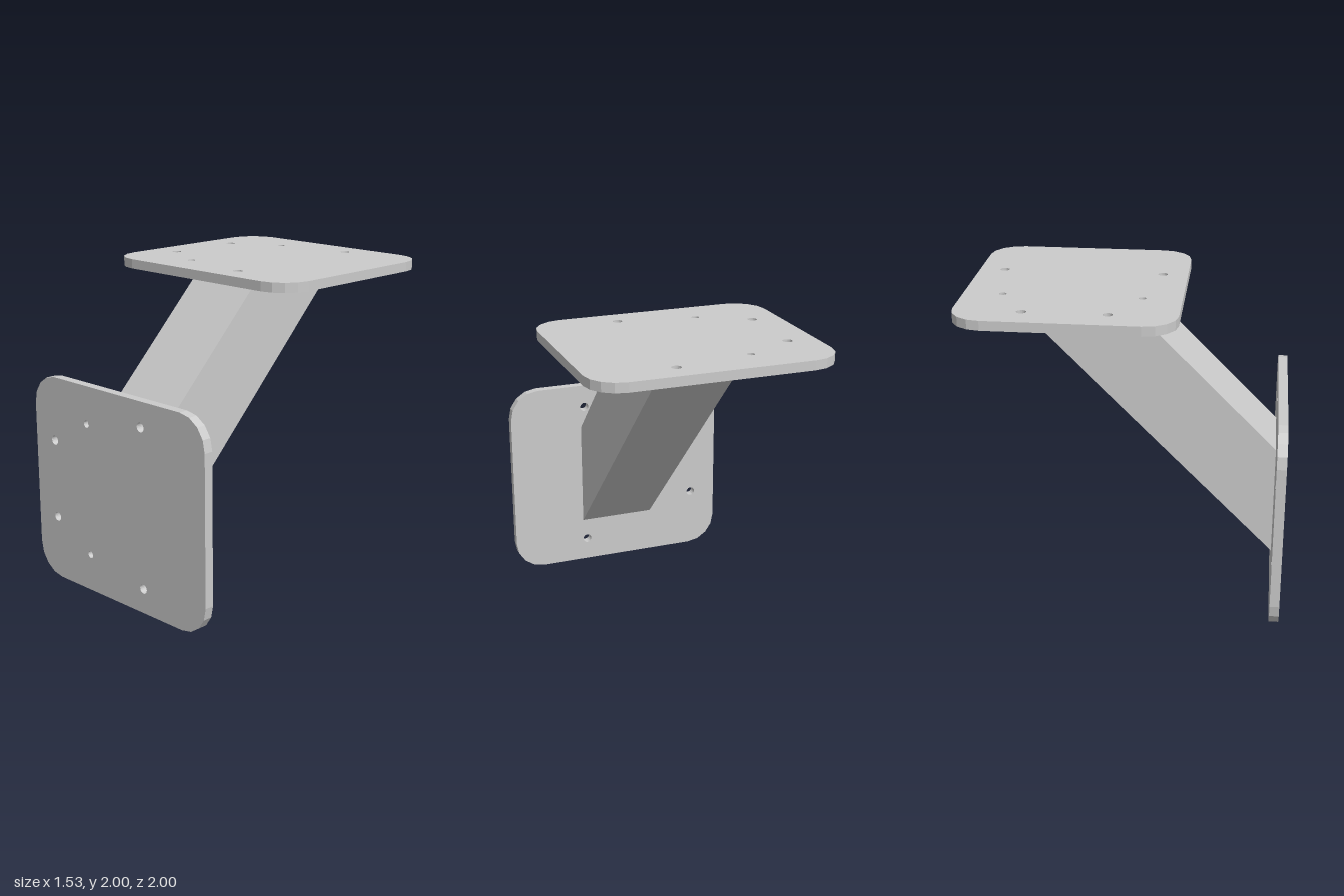
import * as THREE from 'three';

const W = 0.765, H = 0.67, R = 0.2, T = 0.06; // plate half width, half height, corner radius, thickness
const material = new THREE.MeshStandardMaterial({ color: 0xcccccc, flatShading: true });

// Circle as a polygon path
function circlePath(x, y, r, n = 20) {
  const pts = [];
  for (let i = 0; i < n; i++) {
    const a = (i / n) * Math.PI * 2;
    pts.push(new THREE.Vector2(x + r * Math.cos(a), y + r * Math.sin(a)));
  }
  return pts;
}

function mesh(name, geometry) {
  const m = new THREE.Mesh(geometry, material);
  m.name = name;
  return m;
}

// Rounded plate with four through holes and two shallow pilot holes, outer face at z = T
function createPlate(name) {
  const group = new THREE.Group();
  group.name = name;

  // Outline with four facets per corner
  const outline = [];
  const corners = [[1, 1], [-1, 1], [-1, -1], [1, -1]];
  corners.forEach(([sx, sy], c) => {
    for (let i = 0; i <= 4; i++) {
      const a = (c + i / 4) * Math.PI / 2;
      outline.push(new THREE.Vector2(sx * (W - R) + R * Math.cos(a), sy * (H - R) + R * Math.sin(a)));
    }
  });
  const shape = new THREE.Shape(outline);

  for (const s of [-1, 1]) {
    shape.holes.push(new THREE.Path(circlePath(-0.582, s * 0.256, 0.03)));
    shape.holes.push(new THREE.Path(circlePath(0.229, s * 0.511, 0.03)));
    // Pilot hole, closed by a floor at half depth
    const pilot = circlePath(-0.264, s * 0.428, 0.023);
    shape.holes.push(new THREE.Path(pilot));
    group.add(mesh('pilotHoleFloor', new THREE.ExtrudeGeometry(new THREE.Shape(pilot), { depth: T / 2, bevelEnabled: false })));
  }
  group.add(mesh('plateBody', new THREE.ExtrudeGeometry(shape, { depth: T, bevelEnabled: false })));
  return group;
}

export function createModel() {
  const model = new THREE.Group();
  model.name = 'angledBracket';

  // Upright plate at the front
  const frontPlate = createPlate('frontPlate');
  frontPlate.position.set(0, H, 1 - T);
  model.add(frontPlate);

  // Horizontal plate on top
  const topPlate = createPlate('topPlate');
  topPlate.rotation.x = -Math.PI / 2;
  topPlate.position.set(0, 2 - T, H - 1);
  model.add(topPlate);

  // Diagonal strut, mitred against both plates (profile in z, y)
  const halfStrut = 0.257;
  const profile = new THREE.Shape([
    new THREE.Vector2(0.94, 0.31), new THREE.Vector2(0.94, 1.03),
    new THREE.Vector2(0.03, 1.94), new THREE.Vector2(-0.69, 1.94),
  ]);
  const strut = new THREE.ExtrudeGeometry(profile, { depth: halfStrut * 2, bevelEnabled: false });
  strut.translate(0, 0, -halfStrut).rotateY(-Math.PI / 2);
  model.add(mesh('diagonalStrut', strut));

  return model;
}
